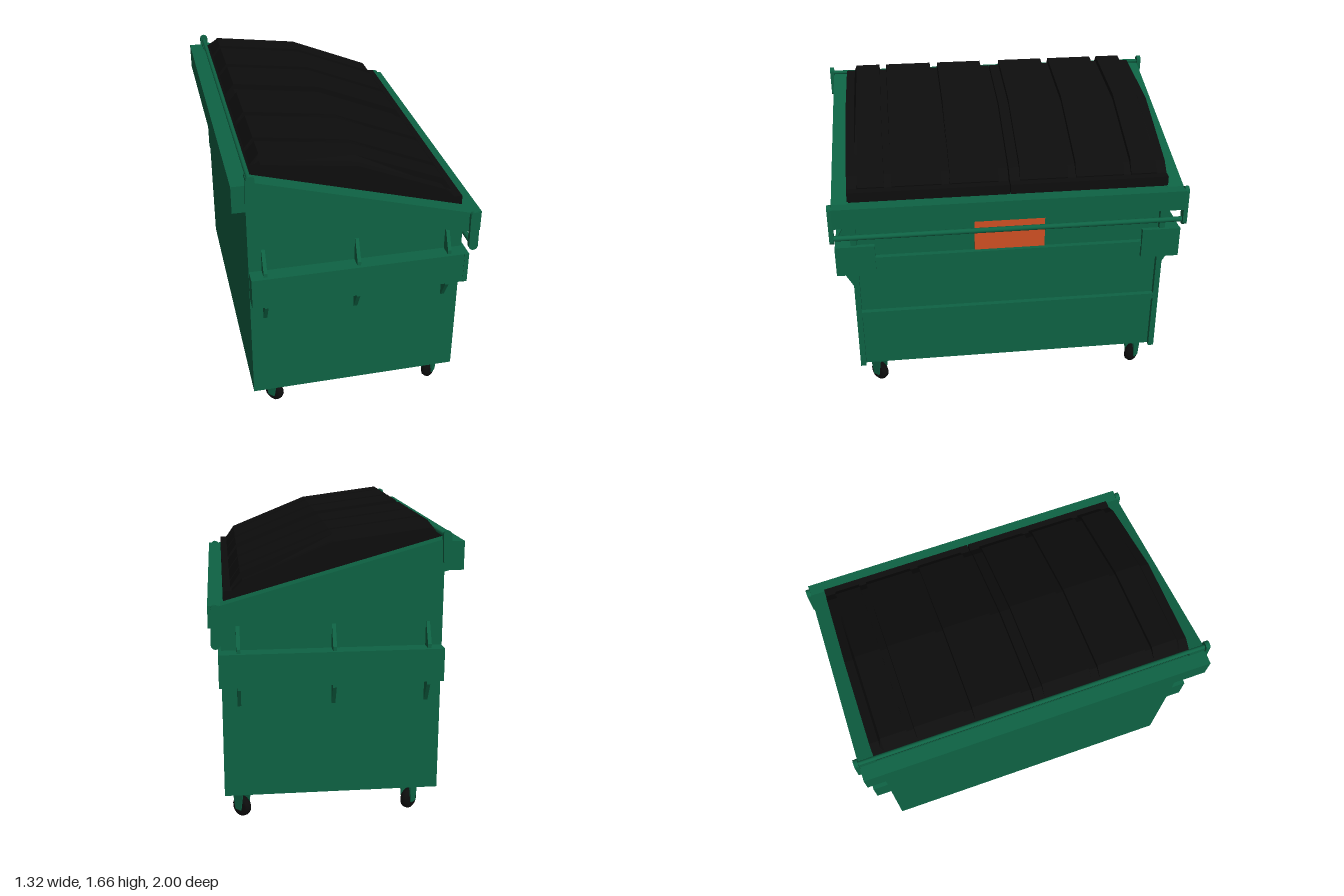
import * as THREE from 'three';

const green = new THREE.MeshStandardMaterial({ color: 0x0e6344 });
green.name = 'green paint';
const black = new THREE.MeshStandardMaterial({ color: 0x0d0d0d });
black.name = 'black plastic';
const orange = new THREE.MeshStandardMaterial({ color: 0xd05023 });
orange.name = 'orange sign';

export function createModel() {
  const root = new THREE.Group();
  root.name = 'dumpster';

  const add = (name, geo, mat, parent = root) => {
    const mesh = new THREE.Mesh(geo, mat);
    mesh.name = name;
    parent.add(mesh);
    return mesh;
  };
  // Box given by its limits on each axis
  const box = (name, x0, x1, y0, y1, z0, z1, mat = green, parent = root) => {
    const mesh = add(name, new THREE.BoxGeometry(x1 - x0, y1 - y0, z1 - z0), mat, parent);
    mesh.position.set((x0 + x1) / 2, (y0 + y1) / 2, (z0 + z1) / 2);
    return mesh;
  };
  // Side profile (x, y) extruded between two z values
  const slab = (points, z0, z1) => {
    const shape = new THREE.Shape(points.map(p => new THREE.Vector2(...p)));
    return new THREE.ExtrudeGeometry(shape, { depth: z1 - z0, bevelEnabled: false }).translate(0, 0, z0);
  };

  // Container with a sloping top and an inset loading wall
  add('container', slab([[-0.585, 0.17], [0.565, 0.17], [0.565, 1.25], [-0.585, 1.56]], -0.892, 0.892), green);
  for (const s of [-1, 1]) {
    box('cornerPost', 0.56, 0.595, 0.17, 1.2, s * 0.876 - 0.016, s * 0.876 + 0.016);
  }
  for (const y of [0.515, 0.88]) box('wallRib', 0.56, 0.594, y, y + 0.034, -0.865, 0.865);
  box('signPlate', 0.563, 0.571, 0.914, 1.147, -0.2, 0.2, orange);

  // Rim rails
  box('highRail', -0.665, -0.585, 1.42, 1.57, -0.978, 0.978);
  const lowRail = box('lowRail', 0.578, 0.658, 1.143, 1.26, -0.978, 0.978);
  lowRail.name = 'lowRail';
  for (const s of [-1, 1]) {
    const z = s > 0 ? [0.885, 0.978] : [-0.978, -0.885];
    add('sideRail', slab([[-0.587, 1.418], [0.6, 1.14], [0.6, 1.258], [-0.587, 1.59]], ...z), green);
  }

  // Fork pockets with end plates and triangular gussets
  for (const s of [-1, 1]) {
    const side = new THREE.Group();
    side.name = s > 0 ? 'frontPocket' : 'backPocket';
    root.add(side);
    const span = (a, b) => s > 0 ? [a, b] : [-b, -a];
    box('forkPocket', -0.583, 0.6, 0.818, 0.998, ...span(0.885, 0.978), green, side);
    box('pocketEndPlate', 0.585, 0.61, 0.818, 0.998, ...span(0.76, 0.98), green, side);
    for (const x of [-0.505, 0, 0.505]) {
      for (const [wallY, outY, pocketY] of [[1.13, 1.02, 0.99], [0.69, 0.795, 0.825]]) {
        const shape = new THREE.Shape([
          new THREE.Vector2(s * 0.885, wallY), new THREE.Vector2(s * 0.9, wallY),
          new THREE.Vector2(s * 0.958, outY), new THREE.Vector2(s * 0.958, pocketY),
          new THREE.Vector2(s * 0.885, pocketY)]);
        const geo = new THREE.ExtrudeGeometry(shape, { depth: 0.02, bevelEnabled: false });
        geo.rotateY(-Math.PI / 2).translate(x + 0.01, 0, 0);
        add('gusset', geo, green, side);
      }
    }
  }

  // Hinge and latch rods with rounded end tabs
  const rod = (name, x, y, r) => {
    const mesh = add(name, new THREE.CylinderGeometry(r, r, 1.98, 10).rotateX(Math.PI / 2), green);
    mesh.position.set(x, y, 0);
  };
  rod('hingeRod', -0.572, 1.595, 0.012);
  rod('latchRod', 0.62, 1.065, 0.015);
  const tab = (name, x, y0, y1, r, tilt) => {
    const shape = new THREE.Shape();
    const h = (y1 - y0) / 2 - r;
    shape.absarc(0, h, r, 0, Math.PI, false);
    shape.absarc(0, -h, r, Math.PI, Math.PI * 2, false);
    for (const z of [-1, 0.976]) {
      const geo = new THREE.ExtrudeGeometry(shape, { depth: 0.024, bevelEnabled: false, curveSegments: 5 });
      const mesh = add(name, geo, green);
      mesh.position.set(x, (y0 + y1) / 2, z);
      mesh.rotation.z = tilt;
    }
  };
  tab('hingeTab', -0.573, 1.45, 1.627, 0.023, -0.04);
  tab('latchTab', 0.619, 1.035, 1.27, 0.025, 0.02);

  // Two lids, each a bent slab with three raised panels
  const base = [[-0.575, 1.58], [-0.5, 1.628], [0, 1.563], [0.475, 1.37], [0.53, 1.318], [0.577, 1.316]];
  const ridge = [[-0.548, 1.602], [-0.5, 1.66], [0, 1.595], [0.485, 1.4], [0.537, 1.325]];
  const ridgeFoot = [[0.53, 1.3], [0.475, 1.355], [0, 1.55], [-0.5, 1.61], [-0.54, 1.59]];
  for (const s of [-1, 1]) {
    const lid = new THREE.Group();
    lid.name = s > 0 ? 'frontLid' : 'backLid';
    root.add(lid);
    const span = (a, b) => s > 0 ? [a, b] : [-b, -a];
    add('lidSlab', slab([[0.577, 1.24], ...base.slice().reverse(), [-0.575, 1.54]], ...span(0.003, 0.892)), black, lid);
    for (const [a, b, taper] of [[0.06, 0.332, 0.004], [0.375, 0.65, 0.004], [0.688, 0.85, 0.02]]) {
      const [z0, z1] = span(a, b);
      const geo = slab([...ridge, ...ridgeFoot], z0, z1);
      // Draw the outer end of the crest inward
      const p = geo.attributes.position;
      for (let i = 0; i < p.count; i++) {
        const crest = ridge.some(([x, y]) => Math.abs(p.getX(i) - x) < 1e-4 && Math.abs(p.getY(i) - y) < 1e-4);
        if (crest && Math.abs(p.getZ(i)) > (a + b) / 2) p.setZ(i, s * (b - taper));
      }
      geo.computeVertexNormals();
      add('raisedPanel', geo, black, lid);
    }
  }

  // Swivelled casters: rounded tyre, two fork plates and a top plate
  const tyre = [[0, -0.026], [0.042, -0.026], [0.054, -0.017], [0.058, 0], [0.054, 0.017], [0.042, 0.026], [0, 0.026]]
    .map(p => new THREE.Vector2(...p));
  for (const [x, sx] of [[-0.45, -1], [0.5, 1]]) {
    for (const sz of [-1, 1]) {
      const caster = new THREE.Group();
      caster.name = 'caster';
      caster.position.set(x, 0, sz * 0.785);
      caster.rotation.y = sx * sz * Math.PI / 4;
      root.add(caster);
      const wheel = add('wheel', new THREE.LatheGeometry(tyre, 18).rotateX(Math.PI / 2), black, caster);
      wheel.position.y = 0.058;
      const fork = [[-0.02, 0.045], [0.02, 0.045], [0.04, 0.165], [-0.04, 0.165]];
      for (const z of [-0.035, 0.027]) add('forkPlate', slab(fork, z, z + 0.008), green, caster);
      box('swivelPlate', -0.04, 0.04, 0.15, 0.172, -0.035, 0.035, green, caster);
    }
  }
  // Wheel axles face outward along the diagonals
  root.children.filter(c => c.name === 'caster').forEach(c => {
    c.rotation.y = Math.atan2(c.position.x, c.position.z) > 0 === c.position.z > 0 ? Math.PI / 4 : -Math.PI / 4;
    if (c.position.x * c.position.z > 0) c.rotation.y = Math.PI / 4;
    else c.rotation.y = -Math.PI / 4;
  });
  return root;
}
